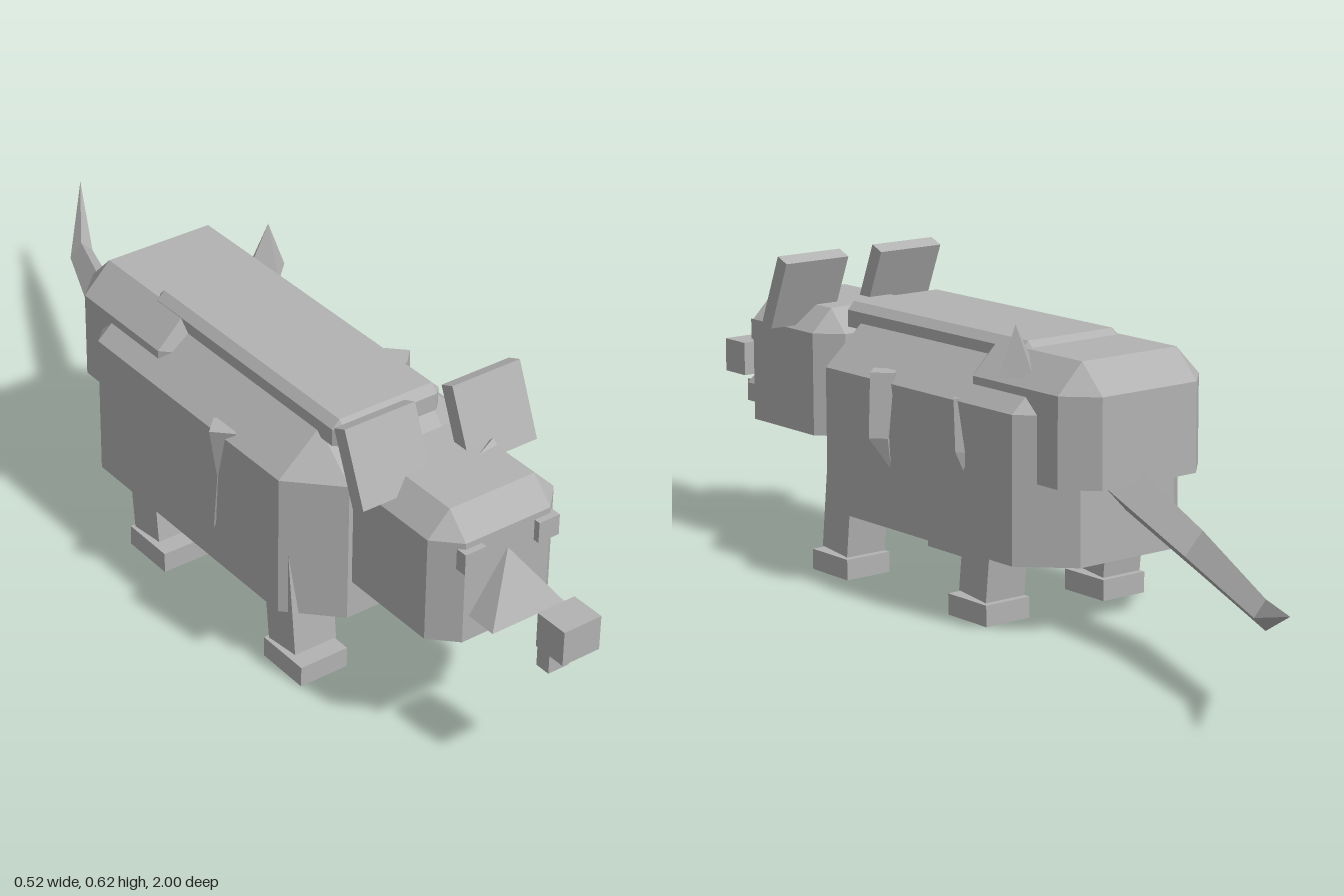
import * as THREE from 'three';

const CX = -0.034; // centre line of the animal

const grey = new THREE.MeshStandardMaterial({ color: 0xb2b2b2, flatShading: true, side: THREE.DoubleSide });
grey.name = 'plain grey';

// Skin between rings of equal point count; the last ring is capped, the first only if asked.
function loft(rings, capStart = false) {
  const pos = [];
  const tri = (a, b, c) => pos.push(...a, ...b, ...c);
  const n = rings[0].length;
  for (let r = 0; r < rings.length - 1; r++) {
    const A = rings[r], B = rings[r + 1];
    for (let i = 0; i < n; i++) {
      const j = (i + 1) % n;
      tri(A[i], A[j], B[j]);
      tri(A[i], B[j], B[i]);
    }
  }
  const first = rings[0], last = rings[rings.length - 1];
  for (let i = 1; i < n - 1; i++) {
    tri(last[0], last[i], last[i + 1]);
    if (capStart) tri(first[0], first[i + 1], first[i]);
  }
  const g = new THREE.BufferGeometry();
  g.setAttribute('position', new THREE.Float32BufferAttribute(pos, 3));
  g.computeVertexNormals();
  return g;
}

// Box with cut upright and top edges, open underneath.
function chamferBox(x0, x1, y0, y1, z0, z1, c, cy = c) {
  const ring = (y, k, m) => [
    [x1 - m, y, z1 - k], [x1 - m, y, z0 + k], [x1 - k, y, z0 + m], [x0 + k, y, z0 + m],
    [x0 + m, y, z0 + k], [x0 + m, y, z1 - k], [x0 + k, y, z1 - m], [x1 - k, y, z1 - m],
  ];
  return loft([ring(y0, c, 0), ring(y1 - cy, c, 0), ring(y1, c, c)]);
}

// Four-sided spike through stations [x, y, z, radius], across axes u and v.
function spike(stations, u, v) {
  return loft(stations.map(([x, y, z, r]) => [0, 1, 2, 3].map((i) => {
    const a = i * Math.PI / 2, p = r * Math.cos(a), q = r * Math.sin(a);
    return [x + p * u[0] + q * v[0], y + p * u[1] + q * v[1], z + p * u[2] + q * v[2]];
  })), true);
}

export function createModel() {
  const group = new THREE.Group();
  const add = (name, geometry) => {
    const m = new THREE.Mesh(geometry, grey);
    m.name = name;
    group.add(m);
    return m;
  };
  const box = (name, w, h, d, x, y, z, rx = 0) => {
    const m = add(name, new THREE.BoxGeometry(w, h, d));
    m.position.set(x, y, z);
    m.rotation.x = rx;
    return m;
  };

  // Trunk, rump, back plate and head
  add('body', chamferBox(-0.24, 0.172, 0.137, 0.505, -0.262, 0.498, 0.09, 0.08));
  add('rump', chamferBox(-0.208, 0.139, 0.295, 0.528, -0.322, 0.042, 0.058));
  add('backPlate', chamferBox(-0.155, 0.085, 0.49, 0.54, -0.11, 0.467, 0.016));
  add('head', chamferBox(-0.175, 0.107, 0.255, 0.512, 0.495, 0.797, 0.047));

  // Snout wedge, nose and teeth
  const sx0 = -0.115, sx1 = 0.047, apex = [CX, 0.42, 0.798];
  add('snout', loft([
    [[sx1, 0.307, 0.862], [sx1, 0.307, 0.734], [sx0, 0.307, 0.734], [sx0, 0.307, 0.862]],
    [apex, apex, apex, apex],
  ]));
  box('nose', 0.082, 0.07, 0.07, CX, 0.341, 0.965);
  box('teeth', 0.046, 0.047, 0.032, CX, 0.271, 0.93);

  // Paired parts on both sides of the centre line
  for (const s of [-1, 1]) {
    const side = s > 0 ? 'left' : 'right';
    box(side + 'Eye', 0.046, 0.042, 0.028, CX + s * 0.082, 0.432, 0.796);
    box(side + 'Ear', 0.153, 0.15, 0.032, CX + s * 0.118, 0.547, 0.596, -0.39);
    for (const [end, z] of [['Front', 0.413], ['Rear', -0.028]]) {
      const lx = CX + s * 0.146;
      box(side + end + 'Leg', 0.094, 0.23, 0.082, lx, 0.163, z - 0.022, -0.11);
      // Foot is a shallow cup open underneath
      const foot = (y) => [[1, 1], [1, -1], [-1, -1], [-1, 1]].map(([a, b]) => [lx + a * 0.0525, y, z + b * 0.058]);
      add(side + end + 'Foot', loft([foot(0), foot(0.042)]));
    }
  }

  // Tail bends sideways and lifts at the tip
  const X = [1, 0, 0], Z = [0, 0, 1], down = [0, -1, 0], back = [0, 0, -1];
  add('tail', spike([
    [-0.038, 0.292, -0.22, 0.052], [0.022, 0.21, -0.53, 0.042],
    [0.14, 0.178, -0.82, 0.028], [0.257, 0.235, -1, 0],
  ], X, down));

  // Spikes on the flanks, rump and brow
  add('leftFlankSpike', spike([
    [0.165, 0.446, 0.226, 0.034], [0.186, 0.32, 0.215, 0.026], [0.17, 0.255, 0.2, 0],
  ], X, Z));
  add('leftRearFlankSpike', spike([
    [0.165, 0.43, -0.005, 0.012], [0.165, 0.33, -0.02, 0.02], [0.174, 0.295, -0.03, 0],
  ], X, Z));
  add('rightFlankSpike', spike([
    [-0.228, 0.44, 0.225, 0.034], [-0.215, 0.33, 0.22, 0.026], [-0.243, 0.21, 0.21, 0],
  ], X, Z));
  add('rumpSpike', spike([[0.112, 0.485, -0.117, 0.046], [0.124, 0.582, -0.124, 0]], X, back));
  add('browSpike', spike([[0.062, 0.502, 0.635, 0.02], [0.005, 0.51, 0.655, 0]], [0, 1, 0], back));
  return group;
}
